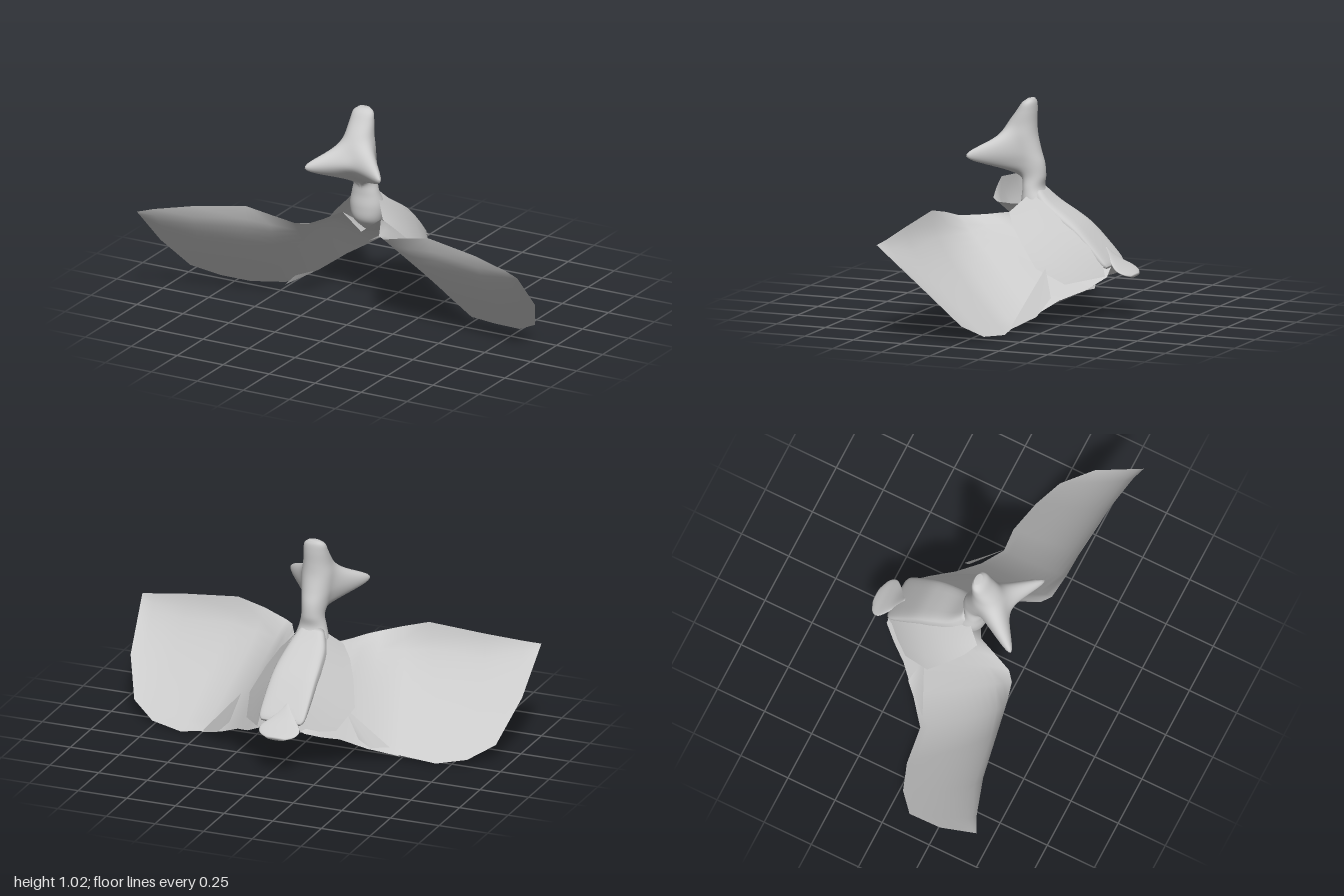
import * as THREE from 'three';
import { mergeVertices } from 'three/addons/utils/BufferGeometryUtils.js';

const V = (x, y, z) => new THREE.Vector3(x, y, z);
const material = new THREE.MeshStandardMaterial({ color: 0xcccccc, side: THREE.DoubleSide });

// Smooth-shaded grid of points: rows x columns
function gridGeometry(rows) {
  const n = rows[0].length, index = [];
  for (let i = 0; i < rows.length - 1; i++) {
    for (let j = 0; j < n - 1; j++) {
      const a = i * n + j, b = a + n;
      index.push(a, a + 1, b, a + 1, b + 1, b);
    }
  }
  const geometry = new THREE.BufferGeometry().setFromPoints(rows.flat());
  geometry.setIndex(index);
  geometry.computeVertexNormals();
  return geometry;
}

// Closed loft through sections { c, u, v }; power < 1 makes the rings boxier
function loft(sections, power = 1, sides = 28, steps = 5) {
  const curve = key => new THREE.CatmullRomCurve3(sections.map(s => s[key]), false, 'catmullrom', 0.5);
  const [c, u, v] = ['c', 'u', 'v'].map(curve);
  const shape = t => Math.sign(t) * Math.abs(t) ** power;
  const total = (sections.length - 1) * steps, rows = [];
  for (let i = 0; i <= total; i++) {
    const t = i / total, C = c.getPoint(t), U = u.getPoint(t), W = v.getPoint(t), row = [];
    for (let j = 0; j <= sides; j++) {
      const a = (j % sides) / sides * Math.PI * 2;
      row.push(C.clone().addScaledVector(U, shape(Math.cos(a))).addScaledVector(W, shape(Math.sin(a))));
    }
    rows.push(row);
  }
  // collapsed rings close both ends; merging joins the seam
  const cap = k => rows[k].map(() => c.getPoint(k / total));
  const geometry = gridGeometry([cap(0), ...rows, cap(total)]);
  geometry.deleteAttribute('normal');
  const merged = mergeVertices(geometry, 1e-5);
  merged.computeVertexNormals();
  return merged;
}

// Pulls two prongs forward and outward from the sides of the head
function pullProngs(geometry) {
  const prongs = [V(0.223, 0, 0.205), V(-0.177, 0, 0.22)];
  const p = geometry.attributes.position;
  for (let i = 0; i < p.count; i++) {
    const point = V().fromBufferAttribute(p, i);
    const radial = V(point.x + 0.033, 0, point.z - 0.06).normalize();
    const height = Math.exp(-(((point.y - 0.77) / 0.066) ** 2));
    for (const prong of prongs) {
      const dir = prong.clone().normalize();
      const pull = Math.max(0, radial.dot(dir)) ** 8 * height * (prong.length() - 0.09);
      point.addScaledVector(dir, pull);
    }
    p.setXYZ(i, point.x, point.y, point.z);
  }
  geometry.computeVertexNormals();
  return geometry;
}

export function createModel() {
  const model = new THREE.Group();
  const add = (name, geometry) => {
    const mesh = new THREE.Mesh(geometry, material);
    mesh.name = name;
    model.add(mesh);
  };

  // Chest, neck and head: [y, z centre, z radius, x radius]
  add('neckAndHead', pullProngs(loft([
    [0.40, -0.05, 0.04, 0.04], [0.46, -0.015, 0.068, 0.072], [0.53, -0.01, 0.075, 0.085],
    [0.60, 0.008, 0.052, 0.068], [0.66, 0.01, 0.06, 0.055], [0.72, 0.045, 0.09, 0.064],
    [0.78, 0.072, 0.098, 0.075], [0.85, 0.078, 0.086, 0.078], [0.91, 0.066, 0.069, 0.068],
    [0.97, 0.044, 0.048, 0.06], [1.01, 0.031, 0.033, 0.052], [1.03, 0.022, 0.016, 0.028],
  ].map(([y, z, rz, rx]) => ({ c: V(-0.033, y, z), u: V(0, 0, rz), v: V(rx, 0, 0) })), 0.95, 72, 6)));

  // Sloping body: [y of the back, z of the back, half depth, half width]
  add('body', loft([
    [0.61, -0.03, 0.05, 0.06], [0.545, -0.1, 0.055, 0.095], [0.487, -0.19, 0.045, 0.11],
    [0.435, -0.26, 0.036, 0.115], [0.358, -0.335, 0.026, 0.117], [0.288, -0.395, 0.016, 0.115],
    [0.262, -0.41, 0.008, 0.1],
  ].map(([y, z, r, w]) => ({
    c: V(-0.04, y - 0.74 * r, z + 0.67 * r),
    u: V(w, 0, 0),
    v: V(0, -0.74 * r, 0.67 * r),
  })), 0.5));

  // Flat petal tail under the end of the body: [y, z, half width]
  add('tail', loft([
    [0.33, -0.35, 0.01], [0.278, -0.40, 0.06], [0.245, -0.445, 0.1],
    [0.224, -0.482, 0.09], [0.21, -0.505, 0.045],
  ].map(([y, z, w]) => ({ c: V(-0.055, y, z), u: V(w, 0, 0), v: V(0, -0.008, 0.005) }))));

  // Wings, each station: leading edge x, y, z, trailing edge x, y, z, forward bow
  const root = [-0.04, 0.40, 0.04, -0.04, 0.28, -0.40, 0];
  const wings = {
    leftWing: [
      root,
      [0.09, 0.50, 0.08, 0.07, 0.215, -0.41, 0],
      [0.14, 0.49, 0.18, 0.16, 0.16, -0.335, -0.015],
      [0.175, 0.487, 0.25, 0.25, 0.12, -0.24, -0.02],
      [0.22, 0.49, 0.285, 0.36, 0.06, -0.16, 0],
      [0.34, 0.525, 0.305, 0.48, 0.02, -0.10, 0.025],
      [0.48, 0.555, 0.315, 0.60, 0.005, -0.11, 0.038],
      [0.75, 0.52, 0.335, 0.76, 0.02, -0.07, 0.03],
      [0.93, 0.485, 0.36, 0.88, 0.085, -0.005, 0.012],
      [1.00, 0.47, 0.38, 0.96, 0.25, 0.14, 0],
    ],
    rightWing: [
      root,
      [-0.12, 0.50, 0.08, -0.16, 0.215, -0.40, 0],
      [-0.165, 0.49, 0.19, -0.22, 0.18, -0.33, -0.015],
      [-0.20, 0.487, 0.27, -0.28, 0.15, -0.25, -0.02],
      [-0.25, 0.495, 0.31, -0.38, 0.08, -0.15, 0],
      [-0.36, 0.525, 0.34, -0.50, 0.03, -0.05, 0.025],
      [-0.48, 0.555, 0.365, -0.68, 0.008, -0.03, 0.038],
      [-0.75, 0.52, 0.41, -0.82, 0.03, 0.02, 0.03],
      [-0.93, 0.49, 0.465, -0.93, 0.09, 0.11, 0.012],
      [-1.00, 0.475, 0.50, -0.985, 0.27, 0.30, 0],
    ],
  };
  for (const [name, stations] of Object.entries(wings)) {
    add(name, gridGeometry(stations.map(s => {
      const row = [], lead = V(...s.slice(0, 3)), trail = V(...s.slice(3, 6));
      for (let k = 0; k <= 12; k++) {
        // deepest in the front third
        const bow = s[6] * Math.sin((k / 12) ** 0.6 * Math.PI);
        row.push(lead.clone().lerp(trail, k / 12).add(V(0, -bow, bow)));
      }
      return row;
    })));
  }

  // Shoulder sheets joining the body's upper edges to the wings: inner then outer point
  const shoulder = [
    [0.03, 0.585, 0.0, 0.10, 0.50, 0.08],
    [0.045, 0.545, -0.08, 0.15, 0.445, 0.04],
    [0.06, 0.485, -0.17, 0.195, 0.37, -0.025],
    [0.072, 0.425, -0.245, 0.24, 0.265, -0.115],
    [0.075, 0.352, -0.325, 0.20, 0.19, -0.25],
    [0.07, 0.275, -0.39, 0.08, 0.22, -0.405],
  ];
  for (const side of [1, -1]) {
    const place = (x, y, z) => V(side > 0 ? x : -0.06 - x, y, z);
    add(side > 0 ? 'leftShoulder' : 'rightShoulder', gridGeometry(shoulder.map(s => {
      const inner = place(...s.slice(0, 3)), outer = place(...s.slice(3));
      return [0, 0.25, 0.5, 0.75, 1].map(t => inner.clone().lerp(outer, t));
    })));
  }

  // Small folded feather on the back of each wing
  const feather = (name, ...corners) => {
    const geometry = new THREE.BufferGeometry().setFromPoints(corners);
    geometry.setIndex([0, 1, 2, 0, 2, 3]);
    geometry.computeVertexNormals();
    add(name, geometry);
  };
  feather('leftFeather', V(0.26, 0.275, -0.175), V(0.30, 0.14, -0.22), V(0.38, 0.06, -0.18), V(0.5, 0.01, -0.09));
  feather('rightFeather', V(-0.26, 0.275, -0.15), V(-0.35, 0.14, -0.19), V(-0.40, 0.07, -0.13), V(-0.5, 0.02, -0.04));

  return model;
}
